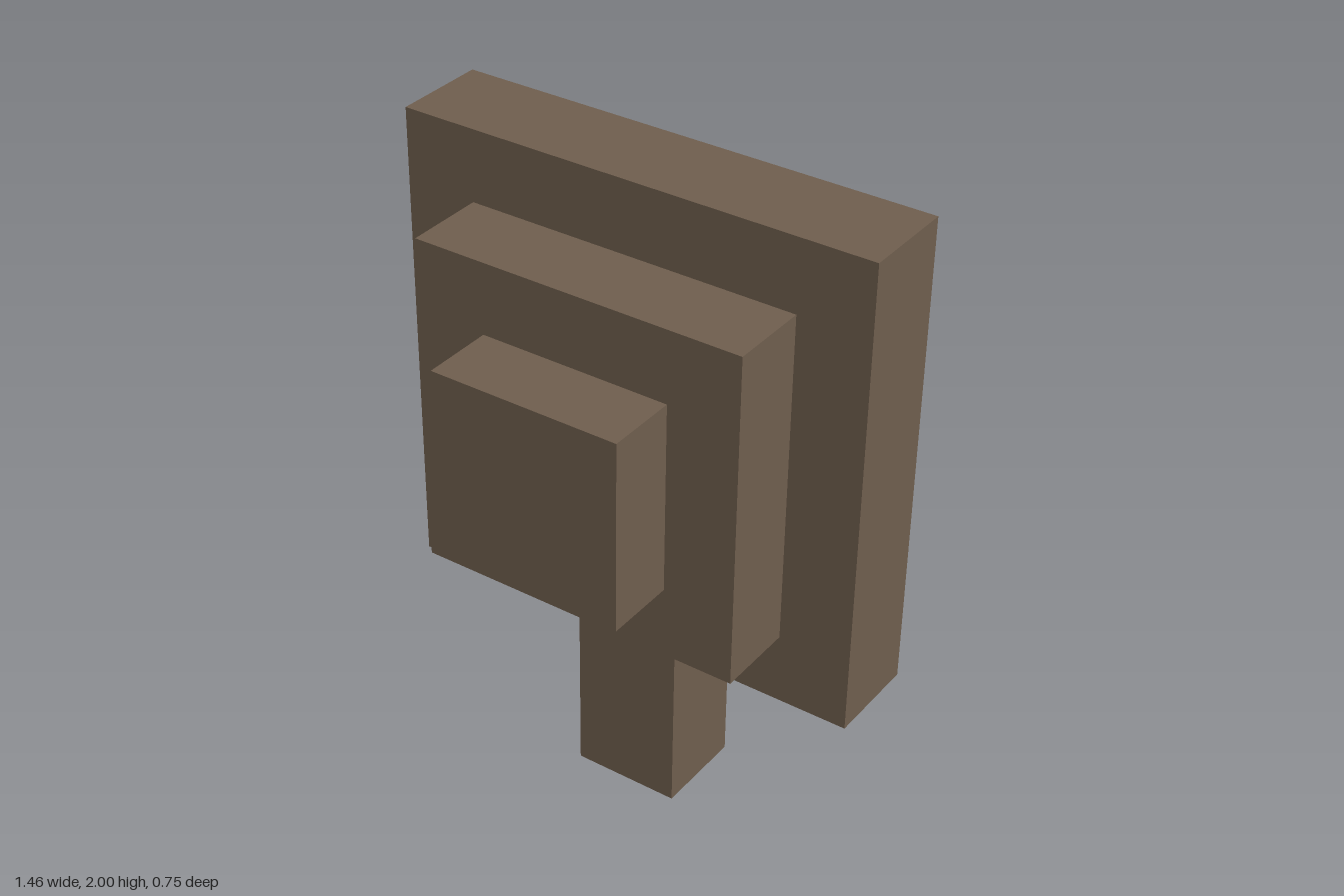
import * as THREE from 'three';

export function createModel() {
  const model = new THREE.Group();
  const brown = new THREE.MeshStandardMaterial({ color: 0x705f4e });
  brown.name = 'brown';

  // Square panel and its handle, cut as one slab
  const half = [[0.167, 0], [0.167, 0.55], [0.728, 0.55], [0.728, 2]];
  const mirrored = half.map(([x, y]) => [-x, y]).reverse();
  const outline = new THREE.Shape([...half, ...mirrored].map(([x, y]) => new THREE.Vector2(x, y)));
  const panel = new THREE.Mesh(
    new THREE.ExtrudeGeometry(outline, { depth: 0.288, bevelEnabled: false }), brown);
  panel.name = 'panelWithHandle';
  panel.position.z = -0.376;
  model.add(panel);

  // Square steps rising from the front of the panel
  const addStep = (name, size, back, front) => {
    const step = new THREE.Mesh(new THREE.BoxGeometry(size, size, front - back), brown);
    step.name = name;
    step.position.set(0, 1.275, (back + front) / 2);
    model.add(step);
  };
  addStep('middleStep', 1.016, -0.088, 0.157);
  addStep('frontStep', 0.582, 0.157, 0.376);

  return model;
}
